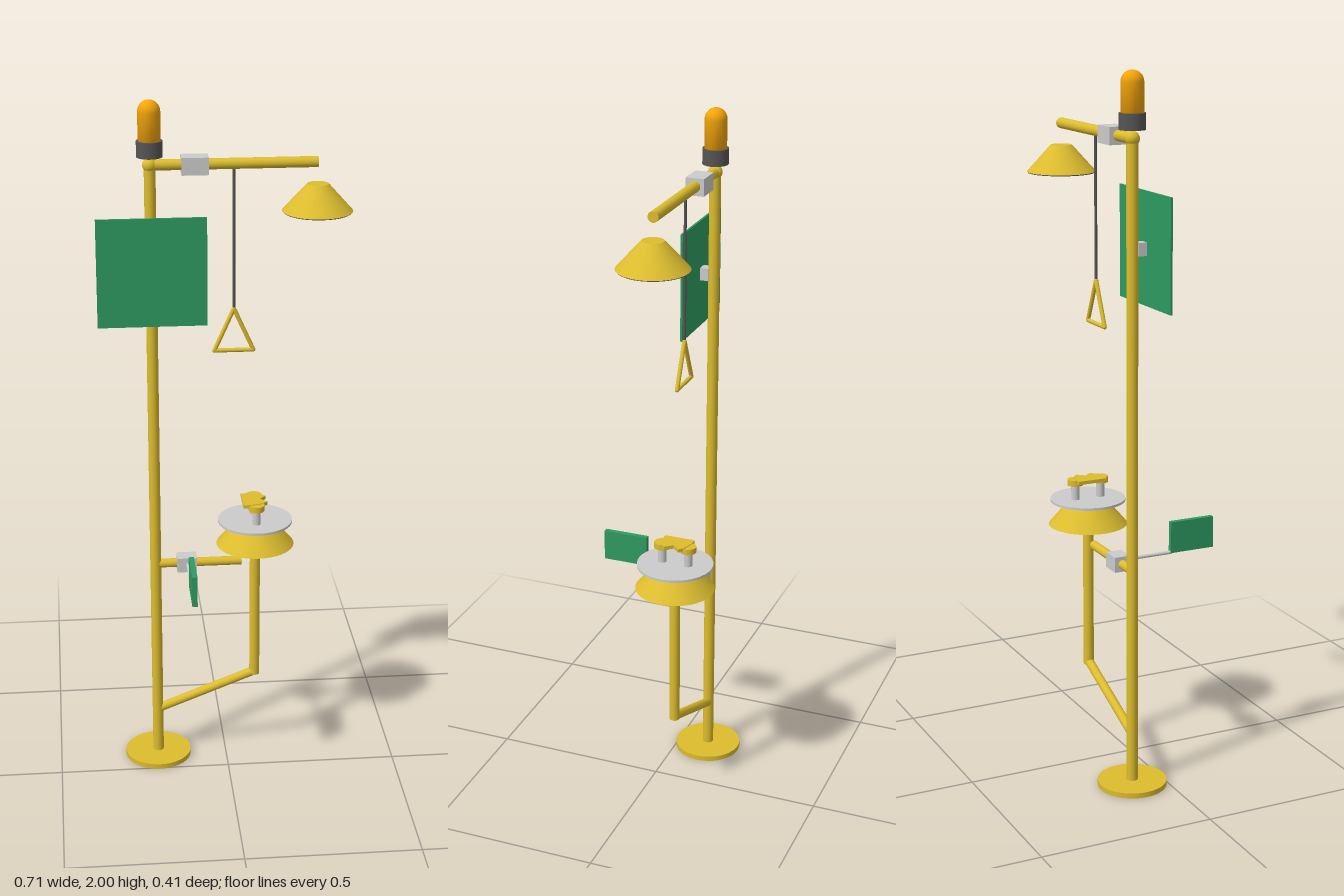
import * as THREE from 'three';

export function createModel() {
  const model = new THREE.Group();
  const mat = (color) => new THREE.MeshStandardMaterial({ color });
  const yellow = mat(0xdcbc2e), grey = mat(0xcccccc), dark = mat(0x555555);
  const green = mat(0x2e9a60), orange = mat(0xf2a40a);
  const Z = -0.093; // shared plane of all the pipework
  const POLE = -0.205, BOWL = 0.087, HEAD = 0.254;

  const add = (name, geometry, material, x, y, z = Z) => {
    const mesh = new THREE.Mesh(geometry, material);
    mesh.name = name;
    mesh.position.set(x, y, z);
    model.add(mesh);
    return mesh;
  };
  const box = (name, w, h, d, material, x, y, z) =>
    add(name, new THREE.BoxGeometry(w, h, d), material, x, y, z);
  // upright round part between two heights
  const turned = (name, rTop, rBottom, y0, y1, material, x, z) =>
    add(name, new THREE.CylinderGeometry(rTop, rBottom, y1 - y0, 40), material, x, (y0 + y1) / 2, z);
  // straight pipe between two points
  const pipe = (name, a, b, r, material) => {
    const p = new THREE.Vector3(...a), q = new THREE.Vector3(...b);
    const dir = q.clone().sub(p);
    const mid = p.clone().add(q).multiplyScalar(0.5);
    const mesh = add(name, new THREE.CylinderGeometry(r, r, dir.length(), 24), material, mid.x, mid.y, mid.z);
    mesh.quaternion.setFromUnitVectors(new THREE.Vector3(0, 1, 0), dir.normalize());
    return mesh;
  };

  // stand
  turned('basePlate', 0.098, 0.098, 0, 0.015, yellow, POLE);
  turned('pole', 0.016, 0.016, 0.01, 1.825, yellow, POLE);
  add('poleJoint', new THREE.SphereGeometry(0.02, 24, 16), yellow, POLE, 1.823);

  // warning beacon
  turned('beaconBase', 0.036, 0.036, 1.846, 1.89, dark, POLE);
  const dome = [new THREE.Vector2(0, 0), new THREE.Vector2(0.031, 0)];
  for (let i = 0; i <= 10; i++) {
    const a = (i / 10) * Math.PI / 2;
    dome.push(new THREE.Vector2(0.031 * Math.cos(a), 0.079 + 0.031 * Math.sin(a)));
  }
  add('beaconDome', new THREE.LatheGeometry(dome, 32), orange, POLE, 1.89);

  // overhead shower
  pipe('showerArm', [POLE, 1.823, Z], [HEAD, 1.823, Z], 0.015, yellow);
  box('showerValve', 0.074, 0.048, 0.052, grey, -0.083, 1.822);
  turned('showerHead', 0.03, 0.098, 1.687, 1.762, yellow, HEAD);
  turned('showerFace', 0.095, 0.095, 1.684, 1.69, dark, HEAD);

  // pull rod with triangular handle
  pipe('pullRod', [0.024, 1.815, Z], [0.024, 1.41, Z], 0.004, dark);
  const corners = [[0.024, 1.412, Z], [-0.031, 1.29, Z], [0.079, 1.29, Z]];
  corners.forEach((c, i) => {
    pipe('pullHandleBar', c, corners[(i + 1) % 3], 0.006, yellow);
    add('pullHandleCorner', new THREE.SphereGeometry(0.006, 12, 8), yellow, ...c);
  });

  // sign board
  box('signBoard', 0.304, 0.307, 0.006, green, POLE, 1.532, -0.054);
  box('signBracket', 0.03, 0.036, 0.026, grey, POLE, 1.532, -0.069);

  // eyewash pipework and bowl
  pipe('slantedPipe', [POLE, 0.153, Z], [BOWL, 0.268, Z], 0.013, yellow);
  turned('eyewashRiser', 0.015, 0.015, 0.26, 0.72, yellow, BOWL);
  turned('eyewashBowl', 0.052, 0.113, 0.692, 0.764, yellow, BOWL);
  turned('eyewashDisc', 0.108, 0.108, 0.762, 0.769, grey, BOWL);

  // eyewash nozzles and their joined cover
  for (const s of [-1, 1]) {
    turned('nozzlePost', 0.012, 0.012, 0.766, 0.815, grey, BOWL, Z + s * 0.039);
    turned('nozzleHead', 0.023, 0.023, 0.812, 0.829, yellow, BOWL, Z + s * 0.039);
  }
  const half = [[-0.038, 0.044], [-0.018, 0.044], [0.02, 0.034], [0.033, 0.021]];
  const outline = [...half, [0.014, 0], ...half.map(([x, y]) => [x, -y]).reverse()];
  const cover = add('nozzleCover', new THREE.ExtrudeGeometry(
    new THREE.Shape(outline.map(([x, y]) => new THREE.Vector2(x, y))),
    { depth: 0.01, bevelEnabled: false }), yellow, BOWL, 0.821);
  cover.rotation.x = -Math.PI / 2;

  // eyewash valve with push paddle
  pipe('eyewashArm', [POLE, 0.637, Z], [0.047, 0.637, Z], 0.013, yellow);
  box('eyewashValve', 0.058, 0.044, 0.046, grey, -0.114, 0.637);
  pipe('paddleRod', [-0.112, 0.639, Z], [-0.112, 0.639, 0.075], 0.005, grey);
  box('pushPaddle', 0.015, 0.091, 0.134, green, -0.112, 0.684, 0.138);

  return model;
}
